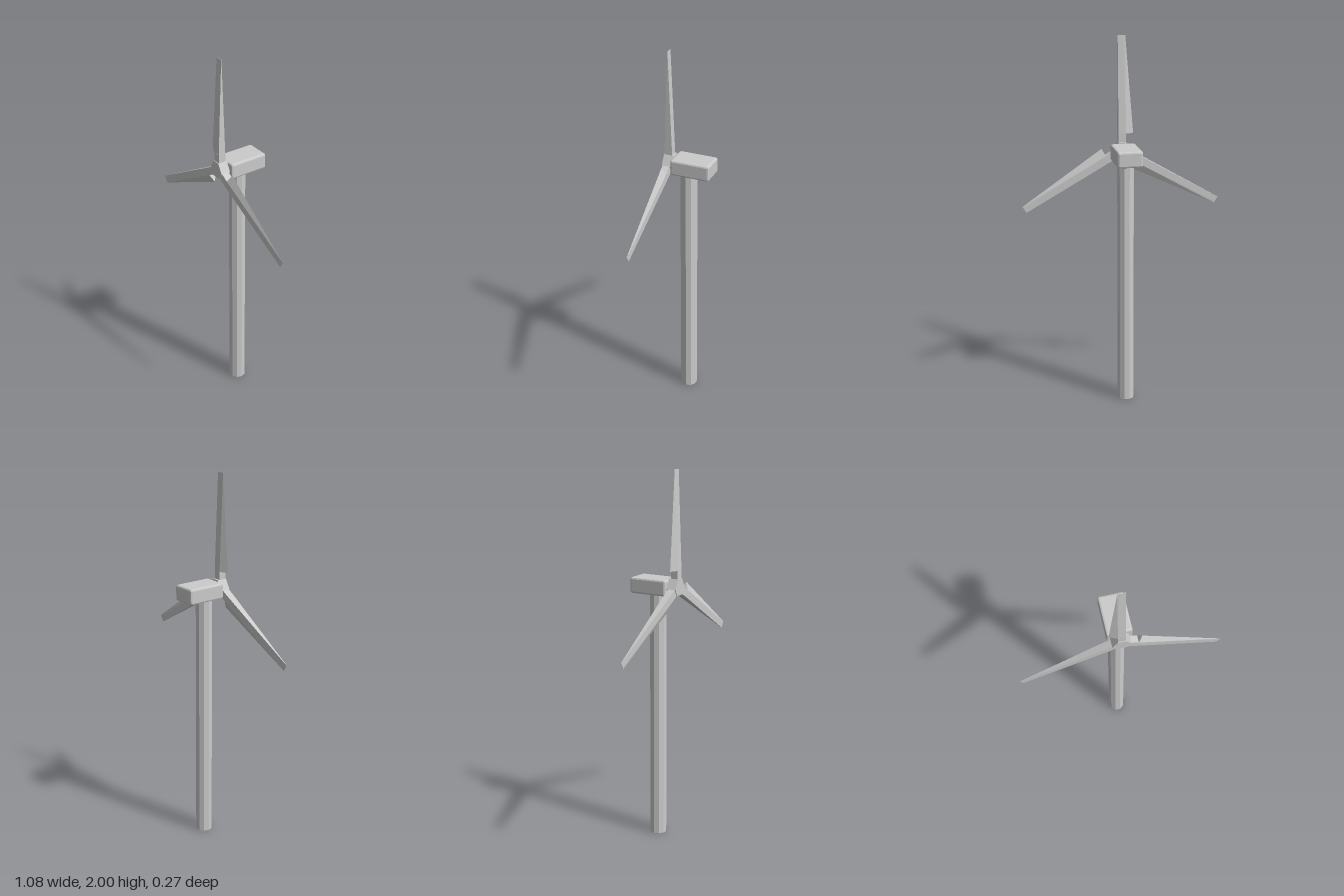
import * as THREE from 'three';
import { RoundedBoxGeometry } from 'three/addons/geometries/RoundedBoxGeometry.js';
import { ConvexGeometry } from 'three/addons/geometries/ConvexGeometry.js';

const HUB_Y = 1.39, HUB_Z = 0.108;
const material = new THREE.MeshStandardMaterial({ color: 0xcccccc, flatShading: true });

function addPart(parent, name, geometry, x = 0, y = 0, z = 0) {
  const mesh = new THREE.Mesh(geometry, material);
  mesh.name = name;
  mesh.position.set(x, y, z);
  parent.add(mesh);
  return mesh;
}

// Wedge-shaped blade: square leading edge, sharp trailing edge, thinning to the tip
function bladeGeometry() {
  const section = (y, trail, ridge, half) => [
    new THREE.Vector3(0.02, y, half), new THREE.Vector3(0.02, y, -half),
    new THREE.Vector3(ridge, y, half), new THREE.Vector3(ridge, y, -half),
    new THREE.Vector3(trail, y, 0),
  ];
  return new ConvexGeometry([
    ...section(0.09, -0.063, -0.02, 0.02),
    ...section(0.61, -0.02, -0.01, 0.001),
  ]);
}

// Hexagonal hub with a short side under each blade
function hubGeometry() {
  const shape = new THREE.Shape();
  const corners = [];
  for (let i = 0; i < 3; i++) {
    for (const x of [0.02, -0.02]) {
      corners.push(new THREE.Vector2(x, 0.046).rotateAround(new THREE.Vector2(), i * Math.PI * 2 / 3));
    }
  }
  shape.setFromPoints(corners);
  return new THREE.ExtrudeGeometry(shape, { depth: 0.056, bevelEnabled: false });
}

export function createModel() {
  const model = new THREE.Group();
  model.name = 'windTurbine';

  // Tower and machine housing
  addPart(model, 'tower', new THREE.CylinderGeometry(0.045, 0.045, 1.35, 10, 1, false, Math.PI / 2), 0, 0.675, 0);
  addPart(model, 'nacelle', new RoundedBoxGeometry(0.135, 0.085, 0.215, 1, 0.01), 0, 1.388, -0.028);

  // Rotor: hub, necks and three blades
  const rotor = new THREE.Group();
  rotor.name = 'rotor';
  rotor.position.set(0, HUB_Y, HUB_Z);
  model.add(rotor);
  addPart(rotor, 'hub', hubGeometry(), 0, 0, -0.032);

  const blade = bladeGeometry();
  const neck = new THREE.BoxGeometry(0.04, 0.06, 0.04);
  for (let i = 0; i < 3; i++) {
    const arm = new THREE.Group();
    arm.name = 'bladeArm' + (i + 1);
    arm.rotation.z = i * Math.PI * 2 / 3;
    addPart(arm, 'bladeNeck', neck, 0, 0.065, 0);
    addPart(arm, 'blade', blade);
    rotor.add(arm);
  }
  return model;
}
